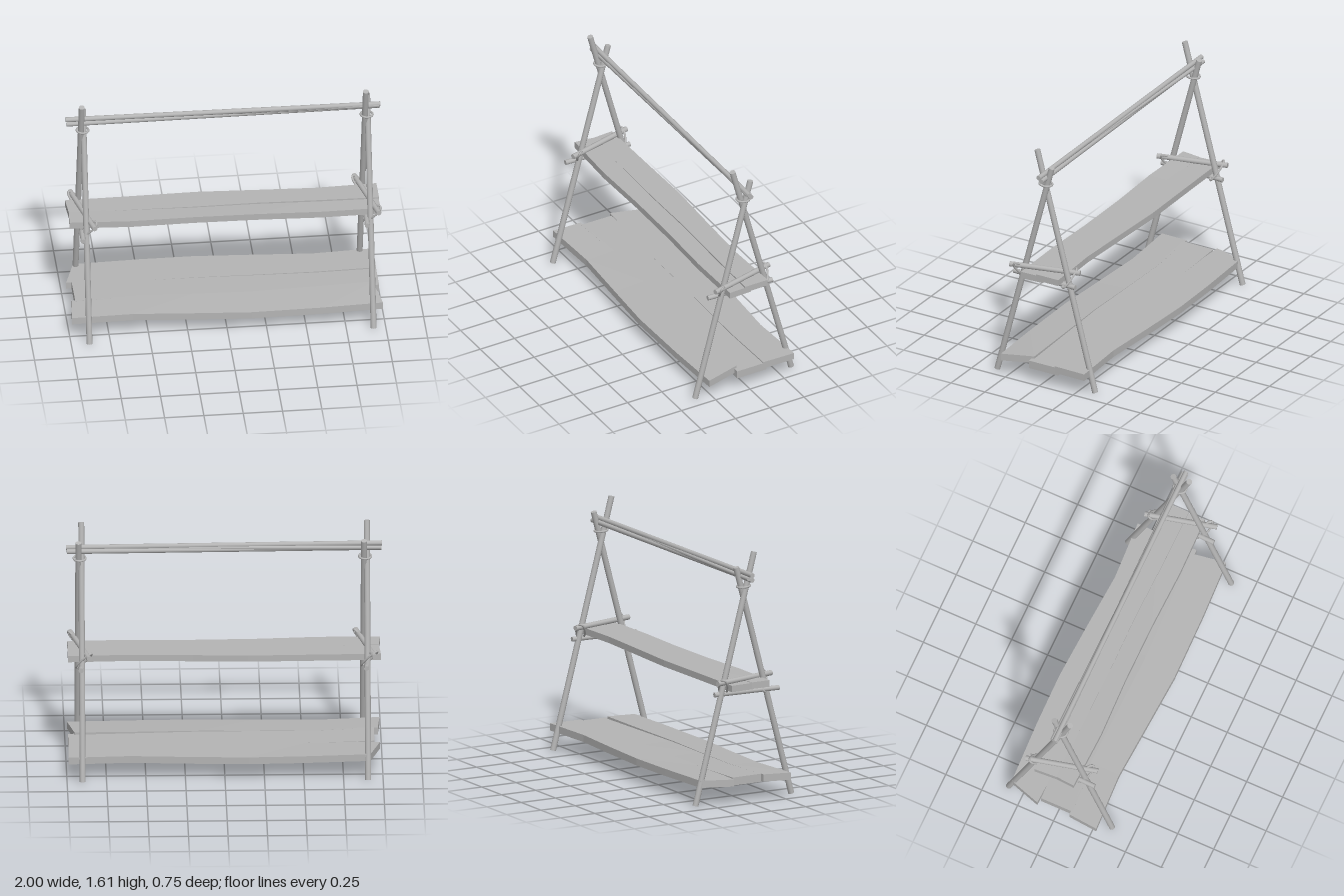
import * as THREE from 'three';

const wood = new THREE.MeshStandardMaterial({ color: 0xb4b4b4 });
wood.name = 'plain grey wood';

const V = (p) => new THREE.Vector3(...p);

// Round pole running between two points
function pole(name, a, b, r) {
  const dir = V(b).sub(V(a));
  const mesh = new THREE.Mesh(new THREE.CylinderGeometry(r, r, dir.length(), 12), wood);
  mesh.position.copy(V(a)).addScaledVector(dir, 0.5);
  mesh.quaternion.setFromUnitVectors(new THREE.Vector3(0, 1, 0), dir.normalize());
  mesh.name = name;
  return mesh;
}

// Closed elliptical rope loop given its centre and two half axes
function rope(name, center, u, v, r) {
  const pts = [];
  for (let i = 0; i < 16; i++) {
    const a = (i / 16) * Math.PI * 2;
    pts.push(V(center).addScaledVector(V(u), Math.cos(a)).addScaledVector(V(v), Math.sin(a)));
  }
  const curve = new THREE.CatmullRomCurve3(pts, true);
  const mesh = new THREE.Mesh(new THREE.TubeGeometry(curve, 40, r, 8, true), wood);
  mesh.name = name;
  return mesh;
}

// Board with wavy edges: front and back are matching [x, z] lists,
// ys holds the top height at [left front, right front, left back, right back]
function plank(name, front, back, ys, thick, sag = 0) {
  const n = front.length - 1;
  const geo = new THREE.BoxGeometry(n, 1, 1, n, 1, 1);
  const p = geo.attributes.position;
  for (let i = 0; i < p.count; i++) {
    const k = Math.round(p.getX(i) + n / 2), t = k / n;
    const isFront = p.getZ(i) > 0;
    const [x, z] = (isFront ? front : back)[k];
    const o = isFront ? 0 : 2;
    const top = ys[o] + (ys[o + 1] - ys[o]) * t - sag * Math.sin(Math.PI * t);
    p.setXYZ(i, x, p.getY(i) > 0 ? top : top - thick, z);
  }
  const flat = geo.toNonIndexed();
  flat.computeVertexNormals();
  const mesh = new THREE.Mesh(flat, wood);
  mesh.name = name;
  return mesh;
}

// One A-shaped end frame with its shelf bars and lashings
function endFrame(name) {
  const g = new THREE.Group();
  g.name = name;
  g.add(
    pole('frontLeg', [-0.885, 0.005, 0.355], [-0.885, 1.515, -0.047], 0.019),
    pole('backLeg', [-0.905, 0.005, -0.355], [-0.905, 1.607, 0.072], 0.019),
    pole('upperShelfBar', [-0.95, 0.79, -0.218], [-0.838, 0.79, 0.235], 0.017),
    pole('lowerShelfBar', [-0.898, 0.708, -0.213], [-0.914, 0.708, 0.248], 0.016),
    rope('topLashing', [-0.893, 1.39, 0.002], [0.038, 0, 0], [0, 0.003, 0.042], 0.007),
    rope('frontLashing', [-0.874, 0.752, 0.165], [0.05, 0.058, 0.026], [0.01, -0.012, 0.024], 0.007),
    rope('backLashing', [-0.917, 0.755, -0.16], [-0.048, 0.055, -0.02], [0.012, 0.012, -0.024], 0.007),
  );
  return g;
}

export function createModel() {
  const model = new THREE.Group();
  model.name = 'displayRack';

  // End frames
  const rightFrame = endFrame('rightEndFrame');
  const leftFrame = endFrame('leftEndFrame');
  leftFrame.position.x = 1.807;
  model.add(rightFrame, leftFrame);

  // Bundle of top rails
  model.add(
    pole('upperRail', [-1, 1.478, 0.006], [1, 1.464, 0.004], 0.016),
    pole('lowerRail', [-0.995, 1.446, 0.008], [0.995, 1.442, -0.012], 0.016),
    pole('backRail', [-0.99, 1.455, -0.014], [0.99, 1.458, 0.01], 0.013),
  );

  // Middle shelf
  model.add(
    plank('middleFrontBoard',
      [[-0.99, 0.135], [-0.6, 0.148], [-0.2, 0.135], [0.2, 0.135], [0.6, 0.147], [0.99, 0.14]],
      [[-0.98, 0.01], [-0.6, 0.005], [-0.2, 0.012], [0.2, 0], [0.6, -0.01], [0.985, -0.017]],
      [0.783, 0.766, 0.78, 0.766], 0.043, 0.004),
    plank('middleBackBoard',
      [[-0.98, 0.02], [-0.6, 0.015], [-0.2, 0.02], [0.2, 0.015], [0.6, 0.025], [0.99, 0.03]],
      [[-0.99, -0.137], [-0.6, -0.142], [-0.15, -0.15], [0.2, -0.135], [0.6, -0.12], [0.99, -0.135]],
      [0.777, 0.776, 0.777, 0.776], 0.042),
  );

  // Bottom shelf
  model.add(
    plank('bottomFrontBoard',
      [[-0.99, 0.292], [-0.6, 0.272], [-0.2, 0.295], [0.15, 0.315], [0.6, 0.307], [0.988, 0.29]],
      [[-0.975, 0.1], [-0.6, 0.075], [-0.2, 0.085], [0.15, 0.095], [0.6, 0.08], [0.945, 0.068]],
      [0.165, 0.15, 0.172, 0.168], 0.047, 0.008),
    plank('bottomMiddleBoard',
      [[-0.95, 0.11], [-0.6, 0.09], [-0.2, 0.095], [0.2, 0.1], [0.6, 0.09], [0.985, 0.085]],
      [[-0.95, -0.11], [-0.6, -0.12], [-0.2, -0.115], [0.2, -0.11], [0.6, -0.125], [0.985, -0.13]],
      [0.172, 0.152, 0.17, 0.152], 0.052, 0.004),
    plank('bottomBackBoard',
      [[-0.985, -0.12], [-0.55, -0.1], [-0.15, -0.105], [0.2, -0.1], [0.6, -0.095], [0.985, -0.105]],
      [[-0.92, -0.327], [-0.5, -0.345], [-0.15, -0.35], [0.2, -0.332], [0.6, -0.307], [0.99, -0.327]],
      [0.166, 0.16, 0.168, 0.16], 0.046, 0.003),
  );
  return model;
}
